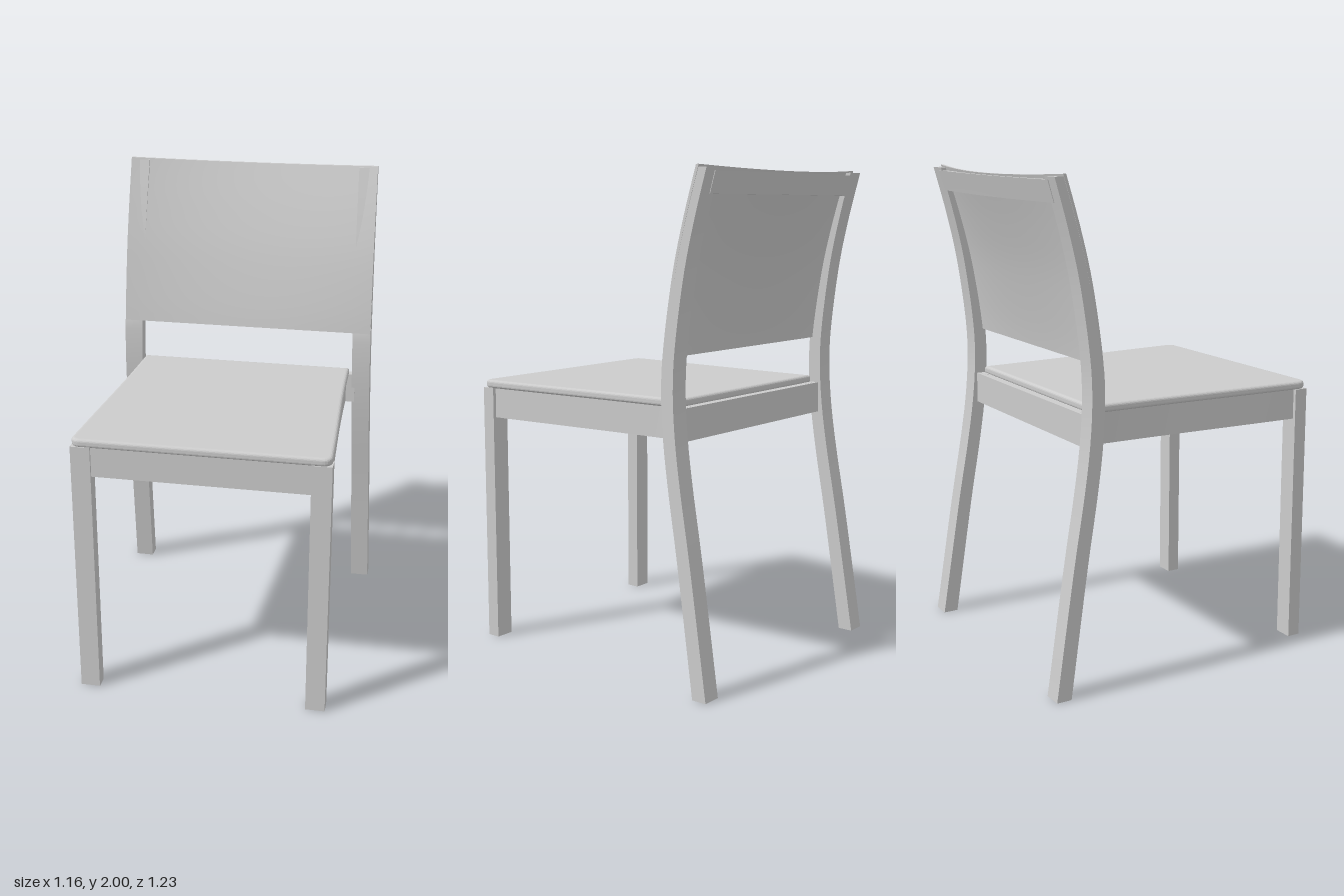
import * as THREE from 'three';

// Smooth curve through [key, value] pairs, evaluated by key
function curve(points) {
  const spline = new THREE.SplineCurve(points.map(([k, v]) => new THREE.Vector2(k, v)));
  const samples = spline.getPoints(160);
  return (k) => {
    let i = 1;
    while (i < samples.length - 1 && samples[i].x < k) i++;
    const a = samples[i - 1], b = samples[i];
    return a.y + (b.y - a.y) * THREE.MathUtils.clamp((k - a.x) / (b.x - a.x), 0, 1);
  };
}

// Front edge (z) of the back posts by height, and half width of the seat by depth
const postFront = curve([[0, -0.55], [0.5, -0.473], [0.8, -0.422], [1, -0.395], [1.18, -0.385],
  [1.35, -0.395], [1.6, -0.432], [1.8, -0.478], [2, -0.535]]);
const seatHalf = curve([[-0.4, 0.468], [-0.2, 0.474], [0, 0.483], [0.2, 0.494], [0.4, 0.505], [0.62, 0.515]]);

const { lerp } = THREE.MathUtils;
const PANEL_BOTTOM = 1.29, PANEL_THICK = 0.012;

// Bow of the backrest: flat at the bottom, deepest in the middle of the top
const bow = (x, y) => 0.055 * Math.max(0, 1 - (x / 0.55) ** 2) * (y - PANEL_BOTTOM) / 0.71;

export function createModel() {
  const chair = new THREE.Group();
  chair.name = 'chair';
  const material = new THREE.MeshStandardMaterial({ color: 0xcccccc, roughness: 0.8 });

  function add(name, geometry) {
    const mesh = new THREE.Mesh(geometry, material);
    mesh.name = name;
    chair.add(mesh);
    return mesh;
  }

  // Box whose unit coordinates (u, v, w from 0 to 1) are bent by a rule
  function bentBox(name, segments, rule) {
    const geometry = new THREE.BoxGeometry(1, 1, 1, ...segments);
    const p = geometry.attributes.position;
    for (let i = 0; i < p.count; i++) {
      p.setXYZ(i, ...rule(p.getX(i) + 0.5, p.getY(i) + 0.5, p.getZ(i) + 0.5));
    }
    geometry.computeVertexNormals();
    return add(name, geometry);
  }

  // Seat: tapered slab with rounded edges and small corner radii
  const e = 0.014, r = 0.025, front = 0.615 - e, back = -0.4 + e;
  const outline = new THREE.Shape();
  outline.moveTo(-seatHalf(back) + e, back);
  outline.lineTo(seatHalf(back) - e, back);
  for (let i = 1; i <= 12; i++) {
    const z = lerp(back, front - r, i / 12);
    outline.lineTo(seatHalf(z) - e, z);
  }
  const cornerX = seatHalf(front) - e;
  outline.quadraticCurveTo(cornerX, front, cornerX - r, front);
  outline.lineTo(-cornerX + r, front);
  outline.quadraticCurveTo(-cornerX, front, -cornerX, front - r);
  for (let i = 11; i >= 1; i--) {
    const z = lerp(back, front - r, i / 12);
    outline.lineTo(-seatHalf(z) + e, z);
  }
  outline.closePath();
  const seat = new THREE.ExtrudeGeometry(outline, {
    depth: 0.011, bevelThickness: 0.012, bevelSize: e, bevelSegments: 4, curveSegments: 6,
  });
  seat.rotateX(Math.PI / 2);
  seat.translate(0, 1.125 - 0.012, 0);
  add('seat', seat);

  for (const [side, s] of [['left', 1], ['right', -1]]) {
    // Straight front leg
    const leg = add(side + 'FrontLeg', new THREE.BoxGeometry(0.08, 1.092, 0.056));
    leg.position.set(s * 0.475, 0.546, 0.585);

    // Curved back post running from floor to top of the backrest
    bentBox(side + 'BackPost', [1, 48, 1], (u, v, w) => {
      const y = v * 1.99;
      const depth = lerp(0.063, 0.05, v);
      const inset = y > PANEL_BOTTOM ? 0.008 : 0;
      const x = s * lerp(0.54, 0.505, v) + (u - 0.5) * 0.079;
      return [x, y, postFront(y) - lerp(depth, inset, w)];
    });

    // Side apron following the seat taper
    bentBox(side + 'Apron', [1, 1, 12], (u, v, w) => {
      const z = lerp(-0.42, 0.575, w);
      return [s * (seatHalf(z) - 0.032) + (u - 0.5) * 0.04, lerp(0.966, 1.095, v), z];
    });
  }

  // Front and back aprons
  const frontApron = add('frontApron', new THREE.BoxGeometry(0.9, 0.129, 0.04));
  frontApron.position.set(0, 1.03, 0.583);
  const backApron = add('backApron', new THREE.BoxGeometry(0.99, 0.129, 0.04));
  backApron.position.set(0, 1.03, -0.412);

  // Thin backrest panel, bowed towards the top
  bentBox('backrestPanel', [24, 20, 1], (u, v, w) => {
    const y0 = lerp(PANEL_BOTTOM, 2, v);
    const x = (u * 2 - 1) * lerp(0.556, 0.546, v);
    const y = y0 - 0.015 * v * (1 - (u * 2 - 1) ** 2);
    return [x, y, postFront(y0) - bow(x, y0) - (1 - w) * PANEL_THICK];
  });

  // Top rail behind the panel
  bentBox('topRail', [24, 4, 1], (u, v, w) => {
    const t = u * 2 - 1, x = t * 0.49;
    const y = lerp(1.895, 1.978, v);
    const zFront = postFront(y) - bow(x, y) - PANEL_THICK * 0.7;
    const zBack = postFront(y) - 0.053 - 0.032 * (1 - t * t);
    return [x, y, lerp(zBack, zFront, w)];
  });

  return chair;
}
